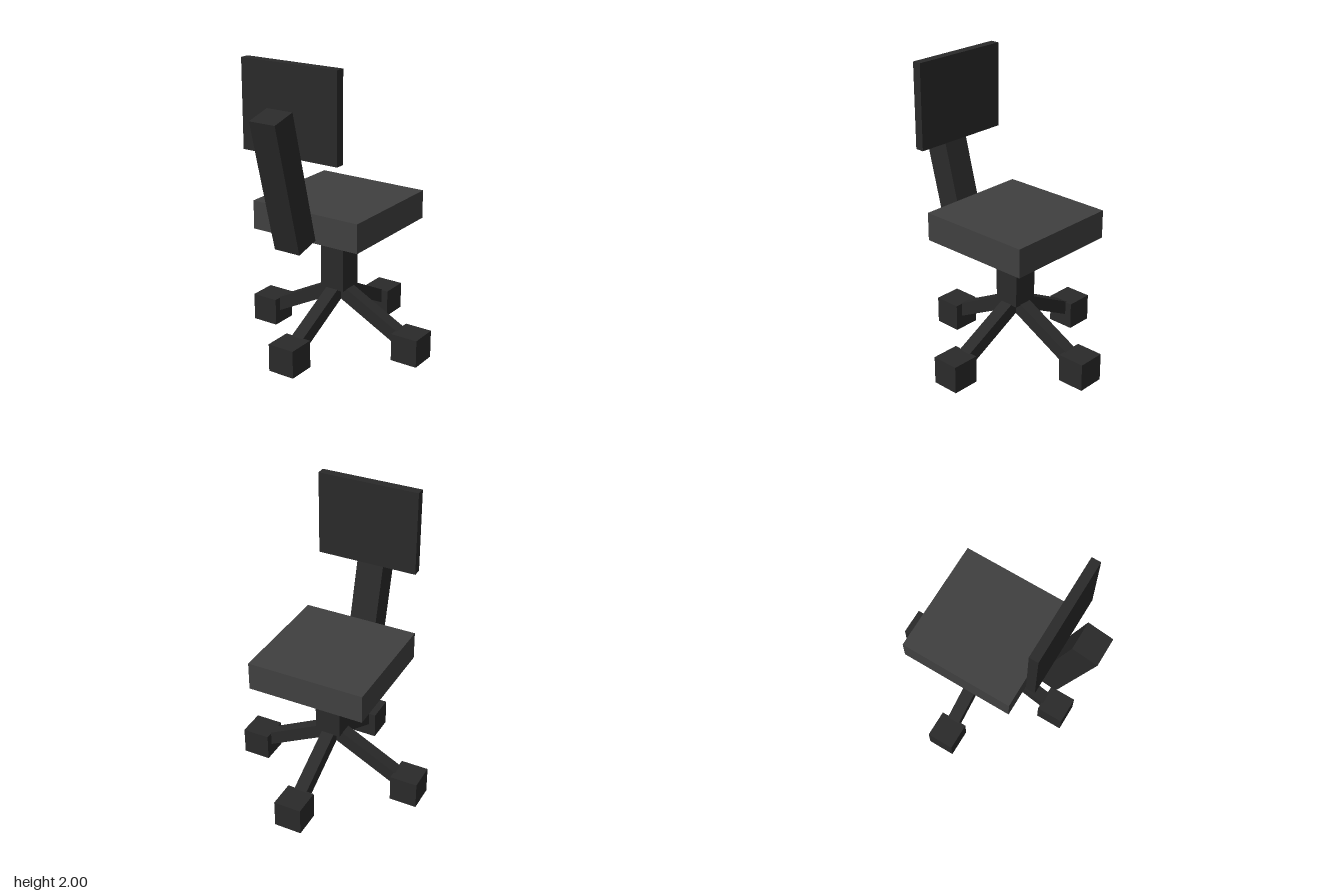
import * as THREE from 'three';

export function createModel() {
  const model = new THREE.Group();
  const frameMat = new THREE.MeshStandardMaterial({ color: 0x2a2a2a, flatShading: true });
  const seatMat = new THREE.MeshStandardMaterial({ color: 0x404040, flatShading: true });

  // The whole chair is swivelled slightly about its column
  const chair = new THREE.Group();
  chair.name = 'officeChair';
  chair.position.x = 0.07;
  chair.rotation.y = 0.194;
  model.add(chair);

  function addBox(parent, name, size, position, tilt = 0, material = frameMat) {
    const mesh = new THREE.Mesh(new THREE.BoxGeometry(...size), material);
    mesh.name = name;
    mesh.position.set(...position);
    mesh.rotation.z = tilt;
    parent.add(mesh);
    return mesh;
  }

  // Seat and column
  addBox(chair, 'seat', [0.805, 0.195, 0.805], [0, 0.933, 0], 0, seatMat);
  addBox(chair, 'column', [0.178, 0.46, 0.178], [0, 0.62, 0]);

  // Leaning support and upright backrest
  addBox(chair, 'backSupport', [0.178, 0.903, 0.19], [-0.608, 1.275, 0], 0.252);
  addBox(chair, 'backrest', [0.062, 0.58, 0.705], [-0.517, 1.71, 0]);

  // Four sloping legs, each ending in a cube foot
  const legTop = new THREE.Vector2(0, 0.39);
  const legEnd = new THREE.Vector2(0.5, 0.132);
  const legLength = legTop.distanceTo(legEnd);
  const legTilt = Math.atan2(legEnd.y - legTop.y, legEnd.x - legTop.x);
  for (let i = 0; i < 4; i++) {
    const arm = new THREE.Group();
    arm.name = 'baseArm' + (i + 1);
    arm.rotation.y = i * Math.PI / 2;
    addBox(arm, 'leg', [legLength, 0.09, 0.09],
      [(legTop.x + legEnd.x) / 2, (legTop.y + legEnd.y) / 2, 0], legTilt);
    addBox(arm, 'foot', [0.19, 0.19, 0.19], [0.57, 0.095, 0]);
    chair.add(arm);
  }

  return model;
}
